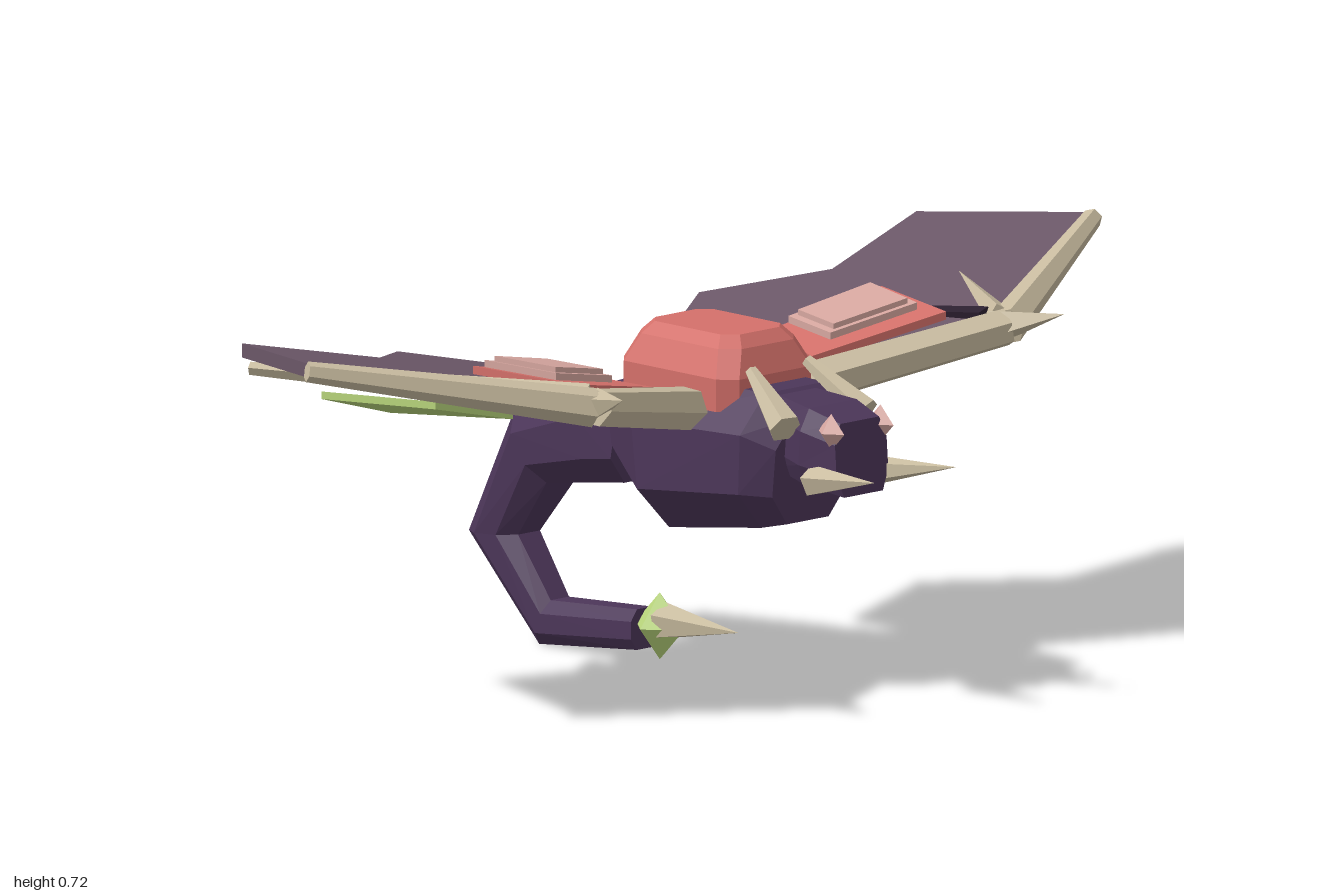
import * as THREE from 'three';

const mat = (name, color, extra = {}) => Object.assign(new THREE.MeshStandardMaterial({ color, flatShading: true, ...extra }), { name });

export function createModel() {
  const skin = mat('purple skin', 0x4c3659);
  const membrane = mat('wing membrane', 0x6b5768);
  const bone = mat('bone', 0xc9bca0);
  const red = mat('coral red', 0xd4706a);
  const pink = mat('pale pink', 0xd6a69f);
  const green = mat('lime green', 0xb9d67c);
  const dark = mat('dark finger', 0x2c2030);
  const model = new THREE.Group();

  const add = (name, geometry, material, parent = model) => {
    const mesh = new THREE.Mesh(geometry, material);
    mesh.name = name;
    parent.add(mesh);
    return mesh;
  };

  // Closed solid through rings of equal point count; winding is set by volume sign
  function loft(rings) {
    const tris = [], n = rings[0].length, last = rings[rings.length - 1];
    for (let r = 0; r < rings.length - 1; r++) {
      for (let i = 0; i < n; i++) {
        const j = (i + 1) % n, a = rings[r], b = rings[r + 1];
        tris.push([a[i], a[j], b[j]], [a[i], b[j], b[i]]);
      }
    }
    for (let i = 1; i < n - 1; i++) {
      tris.push([rings[0][0], rings[0][i + 1], rings[0][i]], [last[0], last[i], last[i + 1]]);
    }
    let volume = 0;
    for (const [a, b, c] of tris) volume += a.dot(b.clone().cross(c));
    if (volume < 0) tris.forEach((t) => t.reverse());
    const geometry = new THREE.BufferGeometry().setFromPoints(tris.flat());
    geometry.computeVertexNormals();
    return geometry;
  }

  // Eight-sided cross-section between a lower and an upper point, half width w
  const section = ([x0, y0, x1, y1, w, k = 0.55]) =>
    [[0, k], [0.28, 1], [0.72, 1], [1, k], [1, -k], [0.72, -1], [0.28, -1], [0, -k]]
      .map(([t, z]) => new THREE.Vector3(x0 + (x1 - x0) * t, y0 + (y1 - y0) * t, z * w));

  // Slab from a list of corners [x, y, z], mirrored by side
  const slab = (points, thickness, side) => loft([-0.5, 0.5].map((k) =>
    points.map(([x, y, z]) => new THREE.Vector3(x, y + k * thickness, z * side))));

  // Tapered straight rod between two points
  function rod(a, b, r0, r1, sides = 4) {
    const from = new THREE.Vector3(...a), to = new THREE.Vector3(...b);
    const dir = to.clone().sub(from);
    const geometry = new THREE.CylinderGeometry(r1, r0, dir.length(), sides);
    geometry.rotateY(Math.PI / 4);
    geometry.applyQuaternion(new THREE.Quaternion().setFromUnitVectors(new THREE.Vector3(0, 1, 0), dir.normalize()));
    return geometry.translate(...from.add(to).multiplyScalar(0.5).toArray());
  }

  // Body, head and tail
  add('body', loft([
    [-0.155, 0.41, -0.19, 0.52, 0.08],
    [0.015, 0.29, -0.02, 0.575, 0.16],
    [0.24, 0.32, 0.25, 0.57, 0.135],
    [0.285, 0.33, 0.305, 0.53, 0.095],
  ].map(section)), skin);
  add('head', loft([
    [0.24, 0.43, 0.25, 0.565, 0.06, 0.75],
    [0.34, 0.412, 0.35, 0.555, 0.08, 0.75],
    [0.43, 0.4, 0.42, 0.535, 0.065, 0.75],
  ].map(section)), skin);
  add('tail', loft([
    [-0.135, 0.345, -0.1, 0.53, 0.1],
    [-0.2, 0.335, -0.24, 0.505, 0.09],
    [-0.355, 0.31, -0.44, 0.43, 0.07],
    [-0.44, 0.2, -0.568, 0.19, 0.05],
    [-0.36, 0.09, -0.39, 0.005, 0.042],
    [-0.14, 0.105, -0.14, 0.03, 0.034],
  ].map(section)), skin);

  // Tail tip
  const gem = add('tailGem', new THREE.OctahedronGeometry(0.062), green);
  gem.position.set(-0.1, 0.078, 0);
  gem.scale.z = 0.8;
  add('tailSpike', rod([-0.09, 0.087, 0], [0.105, 0.095, 0], 0.036, 0, 5), bone);

  // Back plate with chamfered corners
  const plateRing = ([y, x0, x1, w, c]) => [
    [x0 + c, w], [x1 - c, w], [x1, w - c], [x1, c - w], [x1 - c, -w], [x0 + c, -w], [x0, c - w], [x0, w - c],
  ].map(([x, z]) => new THREE.Vector3(x, y, z));
  add('backPlate', loft([
    [0.53, -0.1, 0.2, 0.12, 0.03],
    [0.59, -0.1, 0.2, 0.12, 0.03],
    [0.64, -0.08, 0.18, 0.095, 0.03],
    [0.662, -0.06, 0.16, 0.075, 0.025],
  ].map(plateRing)), red);

  // Wings and paired head parts
  const wingY = (z) => 0.508 + 0.2 * z;
  const onWing = (points, lift = 0) => points.map(([x, z]) => [x, wingY(z) + lift, z]);
  for (const side of [1, -1]) {
    const wing = new THREE.Group();
    wing.name = side > 0 ? 'leftWing' : 'rightWing';
    model.add(wing);
    const m = ([x, y, z]) => [x, y, z * side];
    const limb = (name, a, b, r0, r1, material = bone, sides = 4, parent = wing) =>
      add(name, rod(m(a), m(b), r0, r1, sides), material, parent);

    add('membrane', slab(onWing([
      [0.25, 0.52], [0, 0.98], [-0.31, 0.85], [-0.24, 0.57], [-0.39, 0.38], [-0.23, 0.11], [0.1, 0.11],
    ]), 0.026, side), membrane, wing);

    const elbow = [0.265, 0.61, 0.52];
    limb('upperArm', [0.1, 0.525, 0.11], elbow, 0.042, 0.036, bone, 6);
    limb('foreArm', elbow, [0.004, 0.705, 0.99], 0.036, 0.019, bone, 6);
    limb('elbowSpike', [0.25, 0.61, 0.51], [0.378, 0.645, 0.557], 0.035, 0);
    limb('outerFinger', [0.25, 0.622, 0.52], [-0.3, 0.645, 0.84], 0.03, 0.012);
    limb('innerFinger', [0.22, 0.622, 0.51], [-0.39, 0.568, 0.38], 0.022, 0.012, dark);

    // Coloured panels on the wing
    const redShape = [[-0.09, 0.25], [0.09, 0.2], [0.16, 0.47], [-0.055, 0.515]];
    add('redPanel', slab(onWing(redShape), 0.056, side), red, wing);
    const pinkShape = [[-0.08, 0.305], [0.06, 0.275], [0.1, 0.455], [-0.05, 0.49]];
    add('pinkPanel', slab(onWing(pinkShape, 0.03), 0.022, side), pink, wing);
    const pinkTop = pinkShape.map(([x, z]) => [0.0075 + (x - 0.0075) * 0.85, 0.381 + (z - 0.381) * 0.85]);
    add('pinkPanelTop', slab(onWing(pinkTop, 0.045), 0.012, side), pink, wing);
    add('greenPanel', slab([
      [0.06, 0.612, 0.72], [-0.165, 0.608, 0.79], [-0.295, 0.52, 0.49], [-0.1, 0.52, 0.37],
    ], 0.014, side), green, wing);

    // Horns, tusks and eyes
    limb('horn', [0.33, 0.52, 0.1], [0.21, 0.605, 0.07], 0.032, 0.012, bone, 6, model);
    limb('tusk', [0.37, 0.425, 0.068], [0.565, 0.455, 0.103], 0.03, 0, bone, 5, model);
    const eye = add('eye', new THREE.OctahedronGeometry(0.034), pink);
    eye.position.set(0.41, 0.52, 0.062 * side);
    eye.scale.z = 0.7;
  }
  return model;
}
